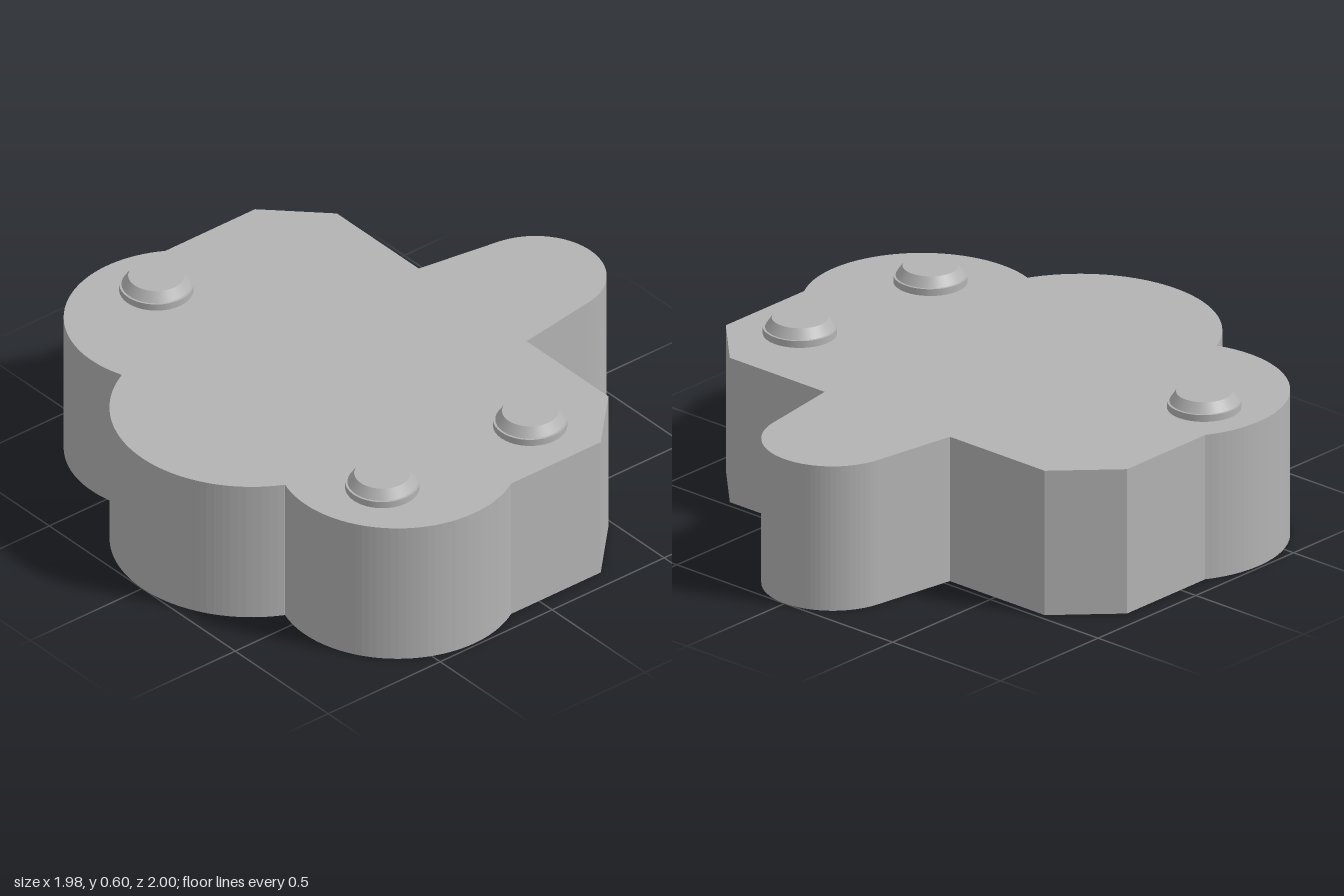
import * as THREE from 'three';

export function createModel() {
  const group = new THREE.Group();
  const grey = new THREE.MeshStandardMaterial({ color: 0xb3b3b3 });
  grey.name = 'grey';

  // Body outline, counter-clockwise, with the rear tab towards +y of the shape
  const outline = new THREE.Shape();
  const lobe = { x: 0.575, y: -0.337, r: 0.413, start: -1.911, end: 0.538 };
  outline.absarc(lobe.x, lobe.y, lobe.r, lobe.start, lobe.end, false);
  outline.lineTo(0.93, 0.275);
  outline.lineTo(0.73, 0.475);
  outline.lineTo(0.29, 0.475);
  outline.absarc(0, 0.755, 0.245, 0.152, Math.PI - 0.152, false);
  outline.lineTo(-0.29, 0.475);
  outline.lineTo(-0.73, 0.475);
  outline.lineTo(-0.93, 0.275);
  outline.absarc(-lobe.x, lobe.y, lobe.r, Math.PI - lobe.end, Math.PI - lobe.start, false);
  outline.absarc(0, -0.511, 0.489, Math.PI + 0.46, 2 * Math.PI - 0.46, false);

  const bodyGeometry = new THREE.ExtrudeGeometry(outline, {
    depth: 0.54, bevelEnabled: false, curveSegments: 20,
  });
  bodyGeometry.rotateX(-Math.PI / 2);
  const body = new THREE.Mesh(bodyGeometry, grey);
  body.name = 'body';
  group.add(body);

  // Raised buttons: a low collar with a tapered, flat-topped cap
  const collarGeometry = new THREE.CylinderGeometry(0.128, 0.128, 0.025, 40);
  const capGeometry = new THREE.CylinderGeometry(0.097, 0.12, 0.035, 40);
  [[0.695, -0.155], [0.665, 0.48], [-0.765, 0.302]].forEach(([x, z], i) => {
    const button = new THREE.Group();
    button.name = `button${i + 1}`;
    const collar = new THREE.Mesh(collarGeometry, grey);
    collar.name = 'buttonCollar';
    collar.position.y = 0.0125;
    const cap = new THREE.Mesh(capGeometry, grey);
    cap.name = 'buttonCap';
    cap.position.y = 0.0425;
    button.add(collar, cap);
    button.position.set(x, 0.54, z);
    group.add(button);
  });

  return group;
}
